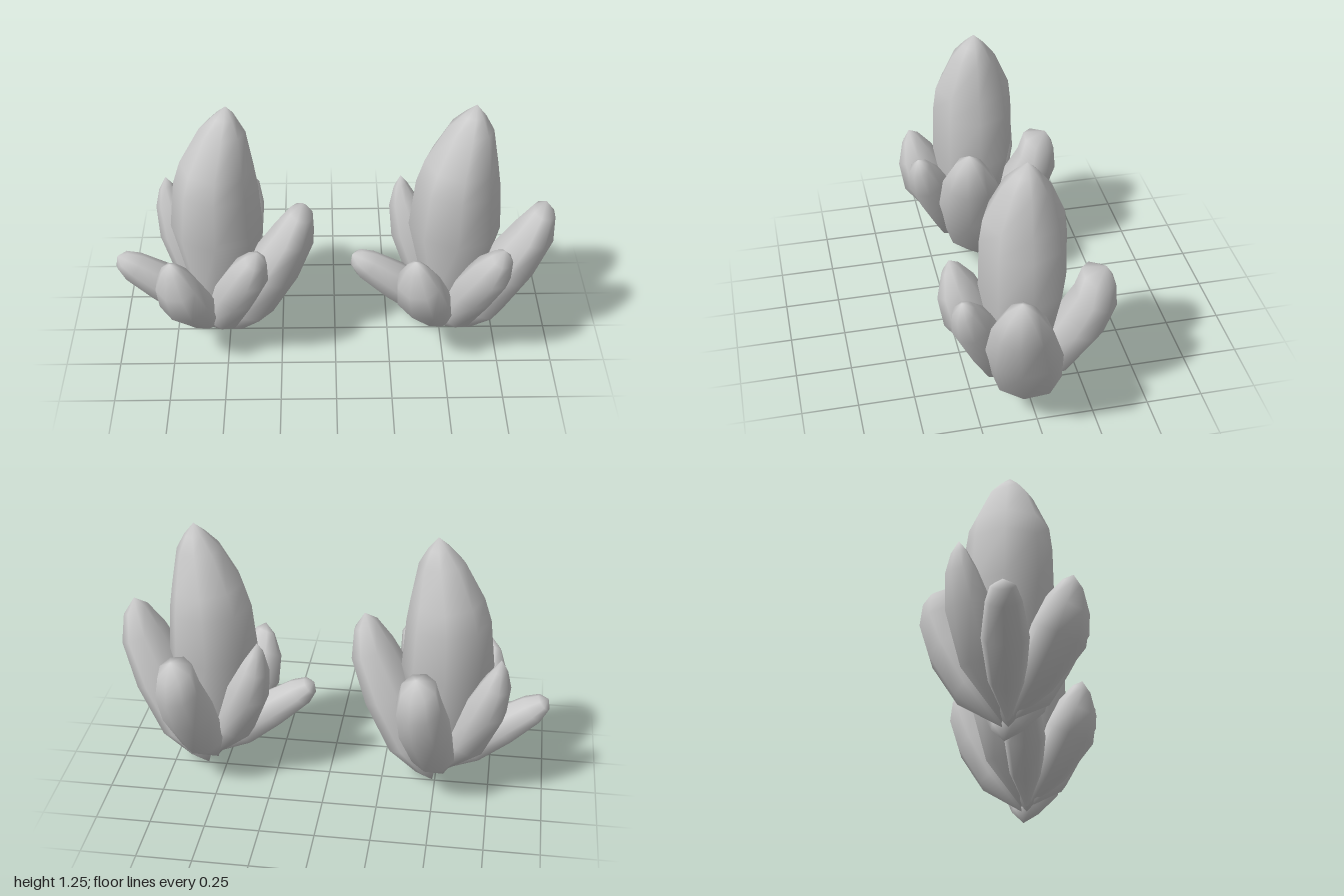
import * as THREE from 'three';

const material = new THREE.MeshStandardMaterial({ color: 0xcccccc });
const SIDES = 8;

// A crystal leaning outward along a compass angle. Each ring is
// [distance outward, height, radius outward, radius sideways]; ends are points.
function crystal(name, degrees, x, z, rings) {
  const a = THREE.MathUtils.degToRad(degrees);
  const out = new THREE.Vector3(Math.cos(a), 0, Math.sin(a));
  const side = new THREE.Vector3(-Math.sin(a), 0, Math.cos(a));
  const first = rings[0], last = rings[rings.length - 1];
  const lean = new THREE.Vector2(last[0] - first[0], last[1] - first[1]).normalize();
  const across = out.clone().multiplyScalar(lean.y);
  across.y = -lean.x;

  const positions = [], index = [];
  const add = (s, y, u, v) => {
    const p = new THREE.Vector3(x, y, z).addScaledVector(out, s)
      .addScaledVector(across, u).addScaledVector(side, v);
    positions.push(p.x, p.y, p.z);
  };

  add(first[0], first[1], 0, 0);
  const body = rings.slice(1, -1);
  for (const [s, y, ru, rv] of body) {
    for (let i = 0; i < SIDES; i++) {
      const t = (i / SIDES) * Math.PI * 2;
      add(s, y, Math.cos(t) * ru * 1.02, Math.sin(t) * rv * 1.02);
    }
  }
  add(last[0], last[1], 0, 0);

  const tip = body.length * SIDES + 1;
  for (let i = 0; i < SIDES; i++) {
    const j = (i + 1) % SIDES;
    index.push(0, 1 + i, 1 + j);
    for (let r = 0; r < body.length - 1; r++) {
      const low = 1 + r * SIDES, high = low + SIDES;
      index.push(low + i, high + i, low + j, low + j, high + i, high + j);
    }
    const top = tip - SIDES;
    index.push(top + i, tip, top + j);
  }

  const geometry = new THREE.BufferGeometry();
  geometry.setAttribute('position', new THREE.Float32BufferAttribute(positions, 3));
  geometry.setIndex(index);
  geometry.computeVertexNormals();
  const mesh = new THREE.Mesh(geometry, material);
  mesh.name = name;
  return mesh;
}

function createCluster(name) {
  const cluster = new THREE.Group();
  cluster.name = name;
  cluster.add(
    // Tall upright centre
    crystal('mainCrystal', 0, 0, 0.025, [
      [0, 0.04], [0, 0.12, 0.06, 0.07], [0, 0.25, 0.12, 0.12], [0.003, 0.62, 0.205, 0.188],
      [0.008, 0.85, 0.185, 0.183], [0.017, 0.96, 0.16, 0.17], [0.048, 1.13, 0.1, 0.1],
      [0.062, 1.2, 0.048, 0.05], [0.068, 1.25]]),
    // Ring of leaning crystals
    crystal('leftCrystal', 18, 0.05, 0.005, [
      [0, 0], [0.03, 0.07, 0.05, 0.07], [0.1, 0.21, 0.115, 0.15], [0.22, 0.44, 0.12, 0.16],
      [0.32, 0.64, 0.095, 0.125], [0.355, 0.755, 0.055, 0.065], [0.36, 0.81]]),
    crystal('frontLeftCrystal', 48, -0.04, 0.06, [
      [0, 0.06], [0.1, 0.2, 0.08, 0.085], [0.19, 0.38, 0.1, 0.095],
      [0.29, 0.54, 0.09, 0.085], [0.34, 0.64, 0.05, 0.05], [0.35, 0.69]]),
    crystal('frontRightCrystal', 125, 0, 0.035, [
      [0, 0.06], [0.12, 0.2, 0.075, 0.085], [0.25, 0.37, 0.105, 0.13],
      [0.3, 0.49, 0.085, 0.105], [0.325, 0.58, 0.04, 0.05], [0.33, 0.62]]),
    crystal('rightCrystal', 178, 0, 0.025, [
      [-0.01, 0.05], [0.12, 0.19, 0.08, 0.075], [0.26, 0.315, 0.088, 0.095],
      [0.39, 0.41, 0.07, 0.072], [0.44, 0.45, 0.042, 0.05], [0.46, 0.47]]),
    crystal('backRightCrystal', -146, 0, 0, [
      [0, 0.06], [0.13, 0.28, 0.085, 0.09], [0.22, 0.5, 0.095, 0.095],
      [0.27, 0.64, 0.065, 0.065], [0.285, 0.72, 0.03, 0.035], [0.285, 0.77]]),
    crystal('backLeftCrystal', -68, 0, 0, [
      [0, 0.04], [0.12, 0.22, 0.095, 0.105], [0.225, 0.42, 0.115, 0.12],
      [0.29, 0.57, 0.1, 0.105], [0.3, 0.67, 0.08, 0.08], [0.33, 0.725]]),
  );
  return cluster;
}

export function createModel() {
  const model = new THREE.Group();
  model.name = 'crystalClusters';
  // Two matching clusters side by side
  for (const [name, x] of [['rightCluster', -0.538], ['leftCluster', 0.538]]) {
    const cluster = createCluster(name);
    cluster.position.x = x;
    model.add(cluster);
  }
  return model;
}
